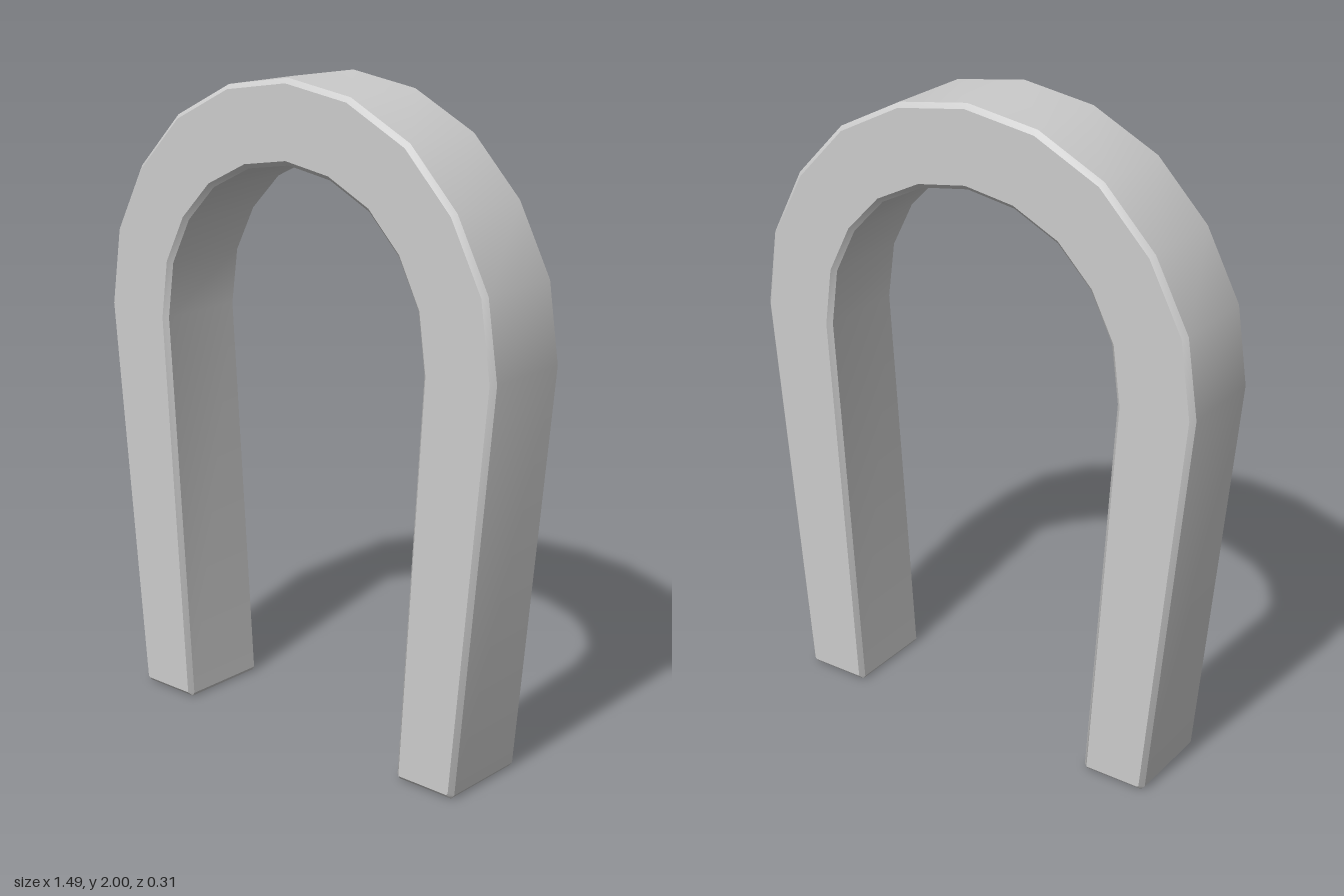
import * as THREE from 'three';
import { toCreasedNormals } from 'three/addons/utils/BufferGeometryUtils.js';

const DEPTH = 0.305;
const BEVEL = 0.014;

// Right half of the arch, from the foot up to the crown
const outer = [[0.62, 0], [0.632, 0.014], [0.745, 1.25], [0.71, 1.485], [0.602, 1.692], [0.44, 1.86], [0.23, 1.965]];
const inner = [[0.43, 0], [0.422, 0.012], [0.5, 1.235], [0.476, 1.41], [0.405, 1.55], [0.298, 1.66], [0.156, 1.73]];

const mirror = (pts) => pts.map(([x, y]) => [-x, y]).reverse();

export function createModel() {
  const group = new THREE.Group();
  group.name = 'horseshoeArch';

  // Outline: up the outside, over the crown, down, then back along the inside
  const half = [...outer, [0, 2], ...mirror(outer)];
  const back = [...inner, [0, 1.755], ...mirror(inner)].reverse();
  const shape = new THREE.Shape([...half, ...back].map(([x, y]) => new THREE.Vector2(x, y)));

  // Thick band with a narrow chamfer on its front and back rims
  const body = new THREE.ExtrudeGeometry(shape, {
    depth: DEPTH - 2 * BEVEL,
    bevelEnabled: true,
    bevelThickness: BEVEL,
    bevelSize: BEVEL,
    bevelOffset: -BEVEL,
    bevelSegments: 1,
  });
  body.translate(0, 0, -DEPTH / 2 + BEVEL);

  const mesh = new THREE.Mesh(
    toCreasedNormals(body, 0.6),
    new THREE.MeshStandardMaterial({ color: 0xcccccc })
  );
  mesh.name = 'archBand';
  group.add(mesh);
  return group;
}
